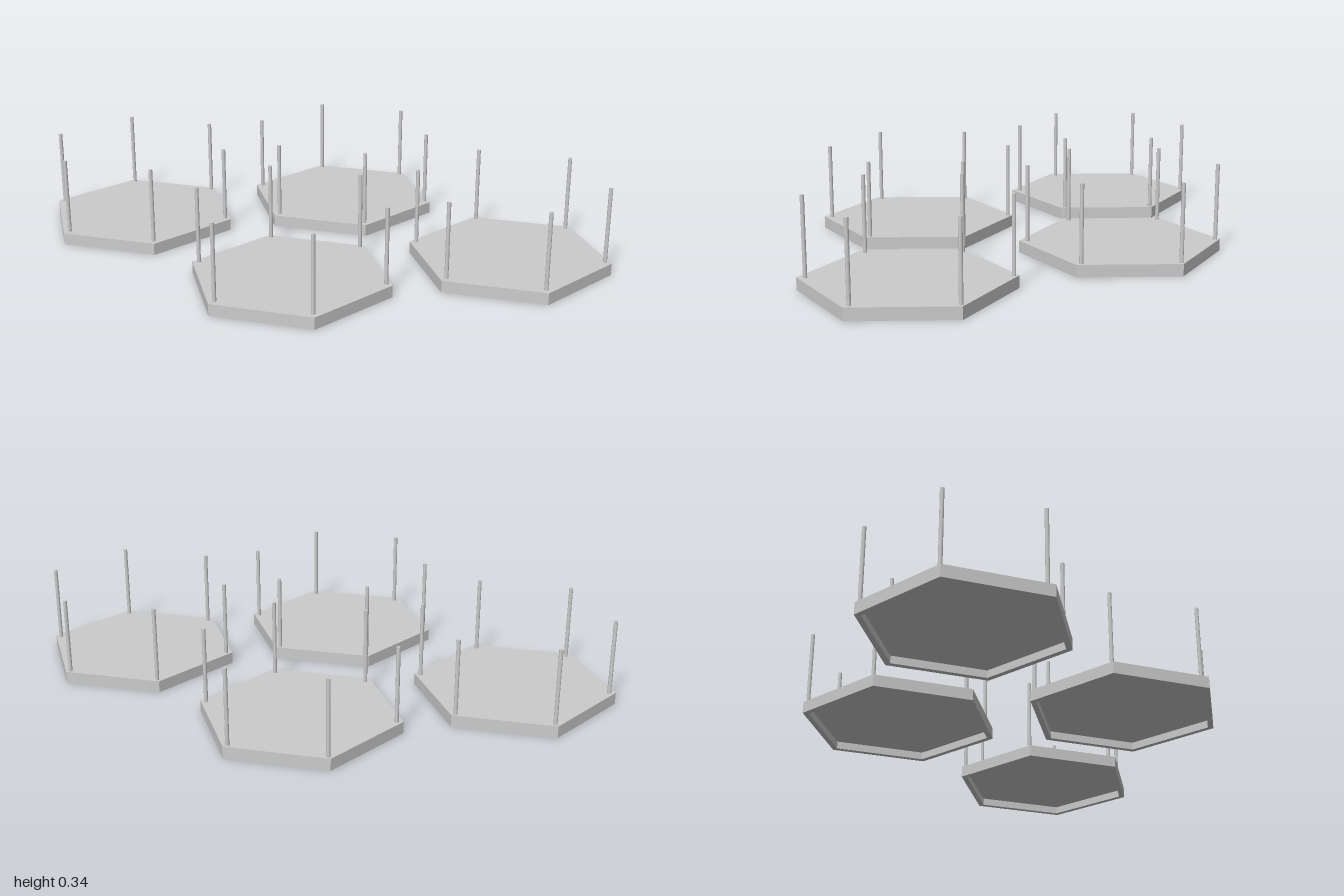
import * as THREE from 'three';

const RADIUS = 0.385, HEIGHT = 0.046, TOP = 0.34;

export function createModel() {
  const model = new THREE.Group();
  model.name = 'hexagonalPanels';
  const flat = new THREE.MeshStandardMaterial({ color: 0xcccccc, flatShading: true });
  const smooth = new THREE.MeshStandardMaterial({ color: 0xcccccc });

  // Hexagonal tray: flat top, recessed underside with a thin rim
  const profile = [
    [0, 0.03], [RADIUS - 0.024, 0.03], [RADIUS - 0.024, 0],
    [RADIUS, 0], [RADIUS, HEIGHT], [0, HEIGHT],
  ].map(([r, y]) => new THREE.Vector2(r, y));
  const trayGeometry = new THREE.LatheGeometry(profile, 6);

  // Thin pole standing on the tray
  const poleHeight = TOP - HEIGHT + 0.005;
  const poleGeometry = new THREE.CylinderGeometry(0.0075, 0.0075, poleHeight, 16);

  function createPanel(x, z) {
    const panel = new THREE.Group();
    panel.name = 'panel';
    panel.position.set(x, 0, z);
    const tray = new THREE.Mesh(trayGeometry, flat);
    tray.name = 'hexagonalTray';
    panel.add(tray);

    // One pole near each corner, the ring set slightly off centre
    for (let i = 0; i < 6; i++) {
      const a = (i * Math.PI) / 3;
      const pole = new THREE.Mesh(poleGeometry, smooth);
      pole.name = 'cornerPole';
      pole.position.set(Math.sin(a) * 0.36 - 0.004, TOP - poleHeight / 2, Math.cos(a) * 0.36 - 0.006);
      panel.add(pole);
    }
    return panel;
  }

  // Two staggered rows of two panels
  for (const [x, z] of [[-0.666, 0.368], [0.24, 0.368], [-0.24, -0.368], [0.666, -0.368]]) {
    model.add(createPanel(x, z));
  }
  return model;
}
